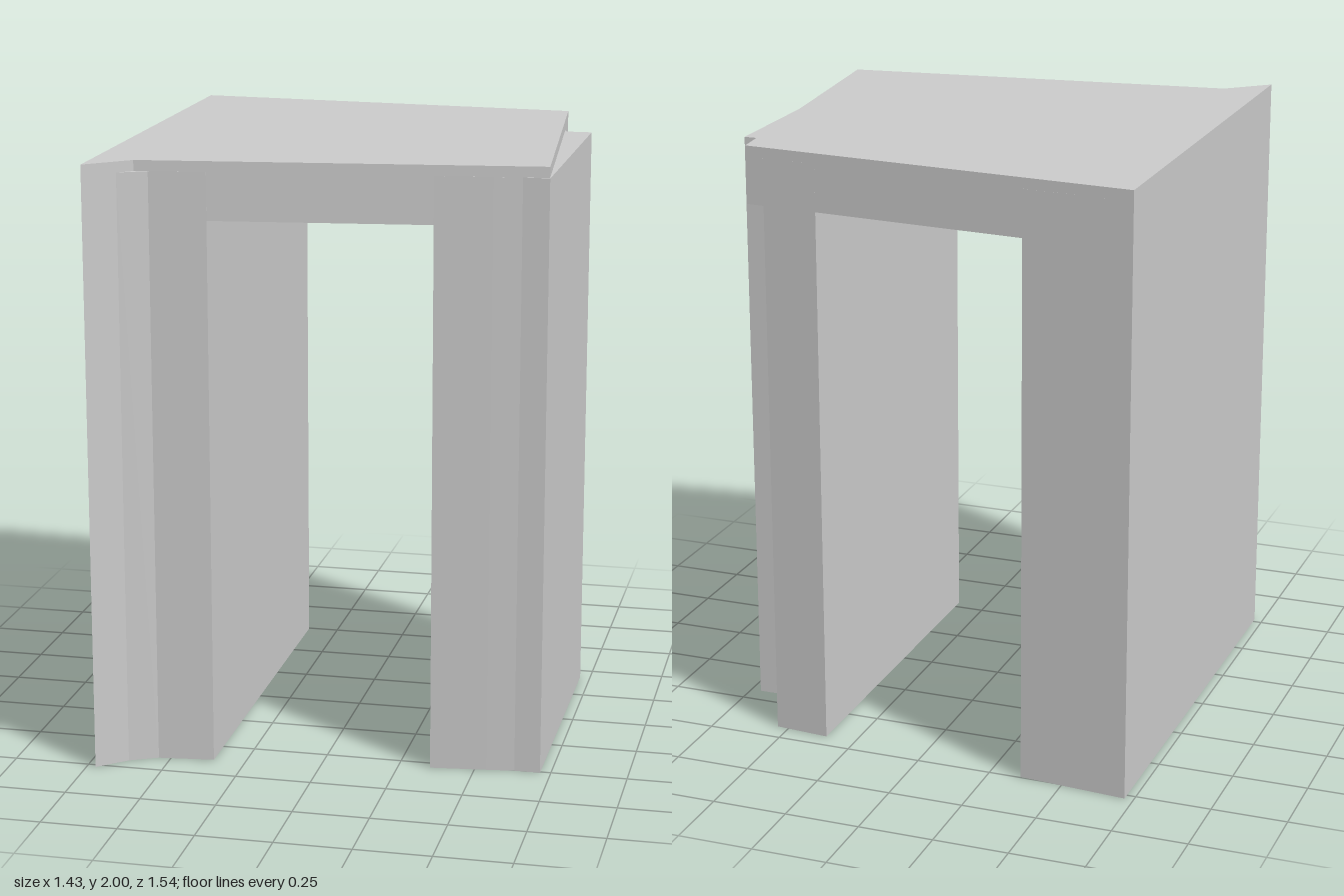
import * as THREE from 'three';

// Upright prism from a floor plan of [x, z] corners
function prism(name, plan, bottom, top, material) {
  const shape = new THREE.Shape(plan.map(([x, z]) => new THREE.Vector2(x, -z)));
  const geometry = new THREE.ExtrudeGeometry(shape, { depth: top - bottom, bevelEnabled: false });
  geometry.rotateX(-Math.PI / 2).translate(0, bottom, 0);
  const mesh = new THREE.Mesh(geometry, material);
  mesh.name = name;
  return mesh;
}

export function createModel() {
  const group = new THREE.Group();
  group.name = 'archBlock';
  const material = new THREE.MeshStandardMaterial({ color: 0xcccccc, flatShading: true });

  // Skewed lintel slab spanning both walls
  group.add(prism('lintelSlab', [
    [-0.72, -0.775], [0.6, -0.668], [0.713, 0.498], [-0.585, 0.65], [-0.72, 0.77],
  ], 1.81, 2, material));

  // Wall on the model's right, with a flared front corner
  group.add(prism('rightWall', [
    [-0.72, -0.775], [-0.357, -0.746], [-0.357, 0.624],
    [-0.54, 0.645], [-0.63, 0.69], [-0.72, 0.77],
  ], 0, 1.965, material));

  // Wall on the model's left, with a recessed back corner
  group.add(prism('leftWall', [
    [0.355, -0.688], [0.54, -0.673], [0.63, -0.432], [0.715, -0.432],
    [0.715, 0.508], [0.63, 0.508], [0.54, 0.519], [0.355, 0.54],
  ], 0, 1.965, material));

  return group;
}
